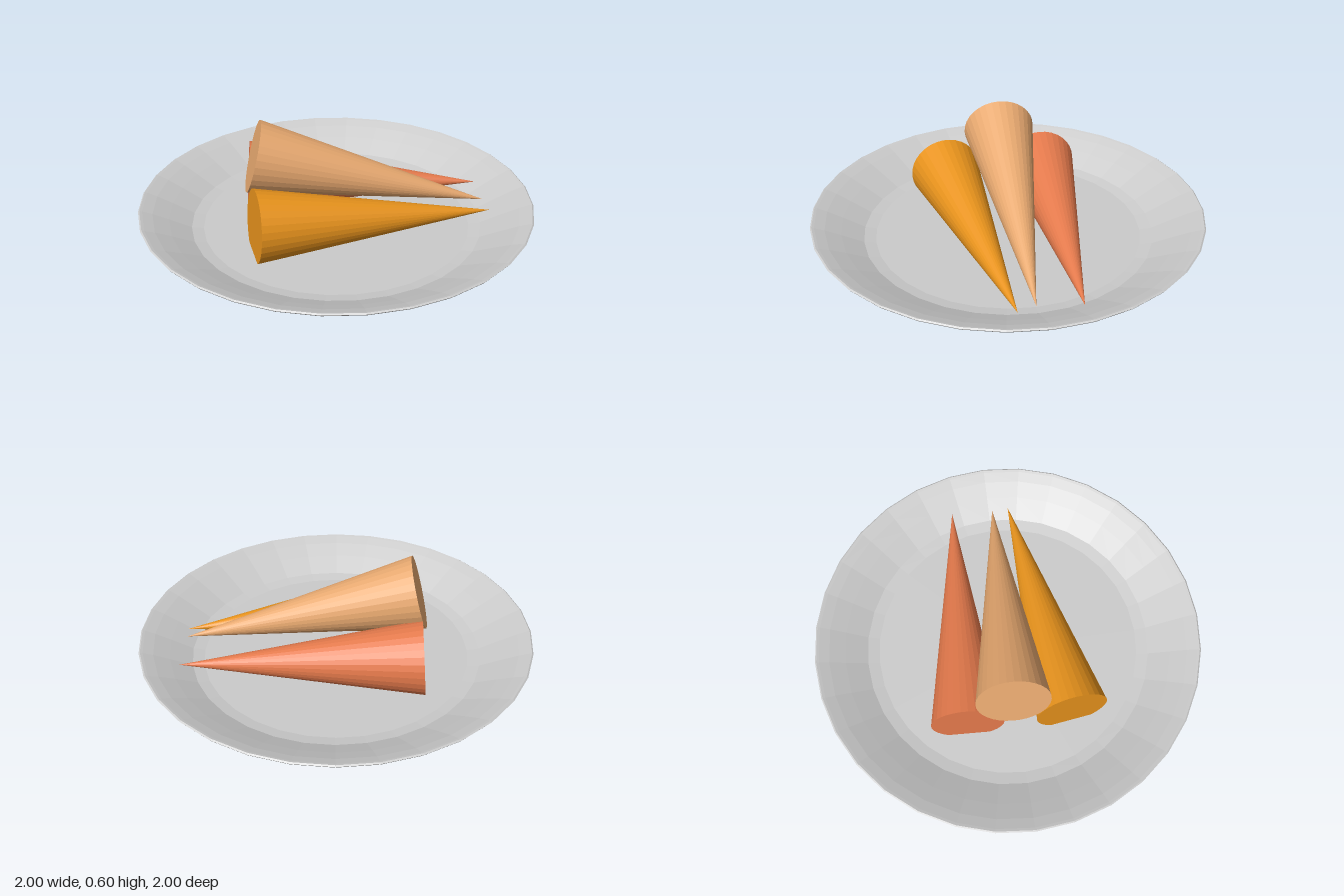
import * as THREE from 'three';

// Solid faceted cone running from the centre of its round base to its tip
function makeCone(name, color, base, tip, radius) {
  const from = new THREE.Vector3(...base);
  const to = new THREE.Vector3(...tip);
  const axis = to.clone().sub(from);
  const geometry = new THREE.ConeGeometry(radius, axis.length(), 32);
  const cone = new THREE.Mesh(geometry, new THREE.MeshStandardMaterial({ color, flatShading: true }));
  cone.name = name;
  cone.position.copy(from).add(to).multiplyScalar(0.5);
  cone.quaternion.setFromUnitVectors(new THREE.Vector3(0, 1, 0), axis.normalize());
  return cone;
}

export function createModel() {
  const model = new THREE.Group();
  model.name = 'plateOfCones';

  // Shallow faceted plate: underside, rounded rim, then the inner dish
  const profile = [
    [0, 0], [0.63, 0], [0.69, 0.006], [0.745, 0.021], [0.86, 0.08],
    [0.975, 0.146], [0.995, 0.16], [1, 0.167], [0.993, 0.172], [0.98, 0.168],
    [0.93, 0.149], [0.85, 0.112], [0.74, 0.058], [0.68, 0.048], [0, 0.048],
  ].map(([r, y]) => new THREE.Vector2(r, y));
  const plate = new THREE.Mesh(
    new THREE.LatheGeometry(profile, 32),
    new THREE.MeshStandardMaterial({ color: 0xcccccc, flatShading: true, side: THREE.DoubleSide }),
  );
  plate.name = 'plate';
  model.add(plate);

  // Two cones lie on the plate, the third rests across them
  model.add(
    makeCone('frontCone', 0xe8931c, [-0.432, 0.197, 0.267], [0.78, 0.105, 0.105], 0.183),
    makeCone('backCone', 0xe57a4c, [-0.432, 0.197, -0.26], [0.783, 0.105, -0.203], 0.184),
    makeCone('topCone', 0xe8a970, [-0.413, 0.427, -0.028], [0.768, 0.12, 0.018], 0.184),
  );
  return model;
}
